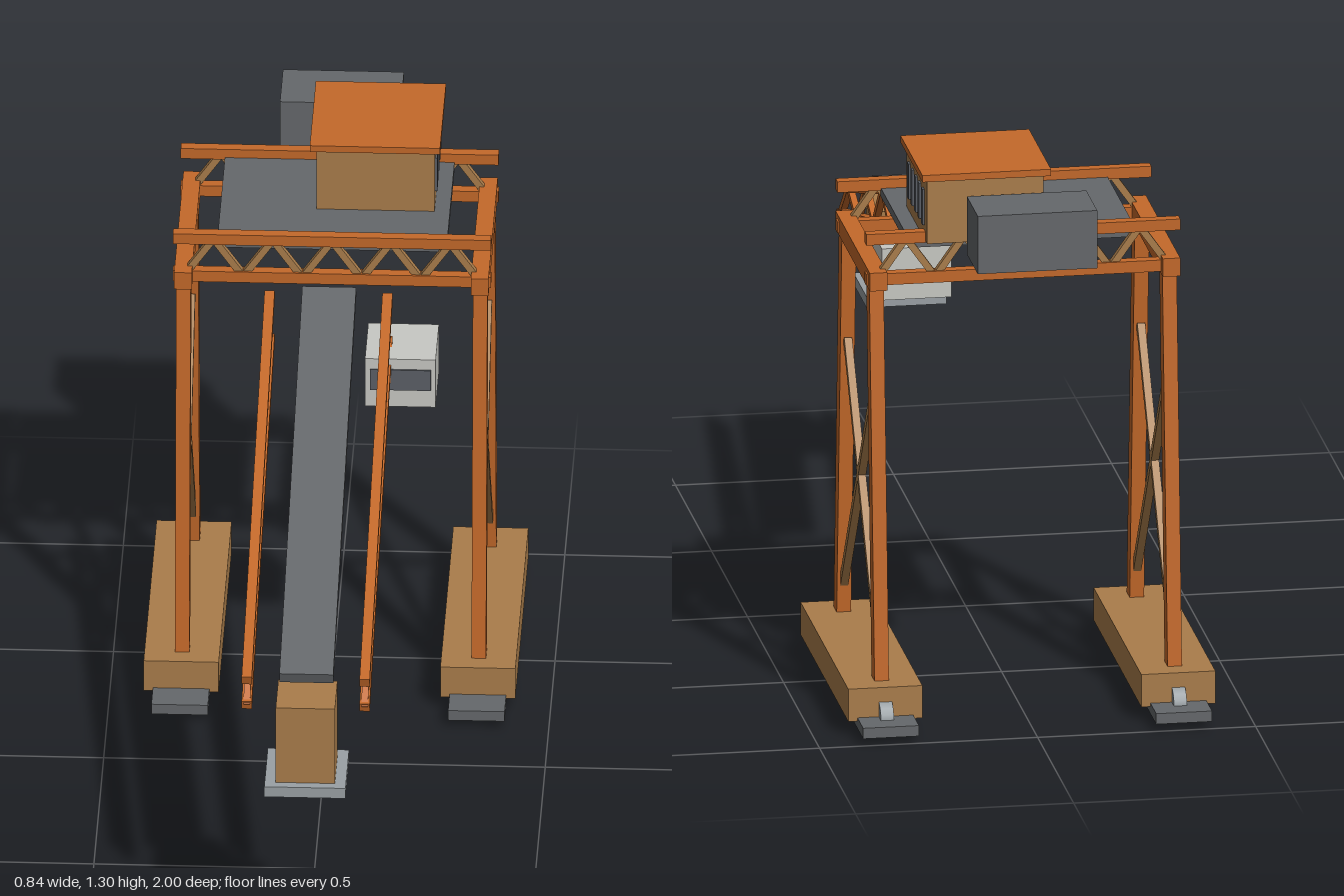
import * as THREE from 'three';

const mat = (name, color) => {
  const m = new THREE.MeshStandardMaterial({ color });
  m.name = name;
  return m;
};

export function createModel() {
  const orange = mat('orange steel', 0xc4692a);
  const tan = mat('tan steel', 0xaa7d4b);
  const dark = mat('dark grey', 0x65686b);
  const glass = mat('window grey', 0x5b5f66);
  const pale = mat('pale grey', 0xc8c9c4);
  const mid = mat('mid grey', 0x9aa1a5);

  const model = new THREE.Group();
  model.name = 'gantryCrane';
  const group = (name) => {
    const g = new THREE.Group();
    g.name = name;
    model.add(g);
    return g;
  };

  // Box given by its limits on each axis
  const box = (parent, name, m, [x0, x1], [y0, y1], [z0, z1]) => {
    const mesh = new THREE.Mesh(new THREE.BoxGeometry(x1 - x0, y1 - y0, z1 - z0), m);
    mesh.position.set((x0 + x1) / 2, (y0 + y1) / 2, (z0 + z1) / 2);
    mesh.name = name;
    parent.add(mesh);
  };

  // Square bar running from point a to point b
  const bar = (parent, name, m, a, b, w, h = w) => {
    const p = new THREE.Vector3(...a), q = new THREE.Vector3(...b);
    const mesh = new THREE.Mesh(new THREE.BoxGeometry(w, h, p.distanceTo(q)), m);
    mesh.position.copy(p).add(q).multiplyScalar(0.5);
    mesh.lookAt(q);
    mesh.name = name;
    parent.add(mesh);
  };

  // Zigzag lacing between a lower and an upper chord, starting low
  const lacing = (parent, m, low, high, n, w) => {
    const node = (i) => {
      const [a, b] = i % 2 ? high : low;
      return a.map((v, k) => v + (b[k] - v) * i / n);
    };
    for (let i = 0; i < n; i++) bar(parent, 'lacing', m, node(i), node(i + 1), w);
  };

  // Two side frames: track pad, wheels, sill, legs, braces, top beam
  for (const s of [-1, 1]) {
    const g = group(s > 0 ? 'leftSideFrame' : 'rightSideFrame');
    const x = s * 0.336;
    box(g, 'trackPad', dark, [x - 0.064, x + 0.064], [0.017, 0.042], [-1, -0.18]);
    box(g, 'sillBeam', tan, [x - 0.085, x + 0.085], [0.034, 0.111], [-0.92, -0.258]);
    for (const z of [-0.424, -0.755, -0.912]) {
      const wheel = new THREE.Mesh(new THREE.CylinderGeometry(0.039, 0.039, 0.03, 16), mid);
      wheel.rotation.z = Math.PI / 2;
      wheel.position.set(x, 0.039, z);
      wheel.name = 'wheel';
      g.add(wheel);
    }
    bar(g, 'frontLeg', orange, [x, 0.1, -0.323], [x, 1.045, -0.397], 0.033, 0.042);
    bar(g, 'backLeg', orange, [x, 0.1, -0.85], [x, 1.045, -0.776], 0.033, 0.042);
    bar(g, 'crossBrace', tan, [x, 0.775, -0.397], [x, 0.18, -0.83], 0.018);
    bar(g, 'crossBrace', tan, [x, 0.775, -0.776], [x, 0.18, -0.343], 0.018);
    box(g, 'topBeam', orange, [x - 0.02, x + 0.02], [1.022, 1.065], [-0.826, -0.348]);
  }

  // Two trusses spanning the gantry
  for (const z of [-0.388, -0.79]) {
    const g = group(z > -0.5 ? 'frontTruss' : 'backTruss');
    const zs = [z - 0.013, z + 0.013];
    box(g, 'lowerChord', orange, [-0.36, 0.36], [1.028, 1.055], zs);
    box(g, 'upperChord', orange, [-0.36, 0.36], [1.124, 1.15], zs);
    lacing(g, tan, [[-0.335, 1.04, z], [0.335, 1.04, z]],
      [[-0.335, 1.135, z], [0.335, 1.135, z]], 10, 0.016);
  }

  // Deck, cabin with side windows, and machinery box behind
  box(model, 'deck', dark, [-0.26, 0.26], [1.108, 1.129], [-0.785, -0.393]);
  const cabin = group('cabin');
  box(cabin, 'cabinWalls', tan, [-0.042, 0.225], [1.129, 1.28], [-0.829, -0.545]);
  box(cabin, 'cabinRoof', orange, [-0.057, 0.238], [1.28, 1.296], [-0.842, -0.537]);
  for (let i = 0; i < 5; i++) {
    const z = -0.59 - i * 0.0484;
    box(cabin, 'cabinWindow', glass, [0.223, 0.23], [1.163, 1.247], [z - 0.01, z + 0.01]);
  }
  box(model, 'machineryBox', dark, [-0.138, 0.136], [1.104, 1.241], [-0.993, -0.841]);

  // Sloping conveyor: belt between two laced side girders
  const conveyor = group('conveyor');
  bar(conveyor, 'belt', dark, [0, 0.722, 0.922], [0, 1.081, -0.248], 0.122, 0.027);
  for (const x of [-0.135, 0.132]) {
    const low = [[x, 0.65, 0.922], [x, 0.958, -0.248]];
    const high = [[x, 0.713, 0.922], [x, 1.07, -0.248]];
    bar(conveyor, 'lowerRail', orange, ...low, 0.023);
    bar(conveyor, 'upperRail', orange, ...high, 0.023);
    lacing(conveyor, orange, low, high, 10, 0.015);
  }

  // Support post under the low end of the conveyor
  const foot = group('conveyorSupport');
  box(foot, 'supportPost', tan, [-0.067, 0.067], [0.483, 0.675], [0.845, 0.978]);
  box(foot, 'supportPlate', mid, [-0.092, 0.092], [0.457, 0.483], [0.818, 1]);

  // Operator booth with a front window
  const booth = group('operatorBooth');
  box(booth, 'boothBody', pale, [0.085, 0.245], [0.838, 0.96], [-0.322, -0.154]);
  box(booth, 'boothWindow', glass, [0.096, 0.234], [0.882, 0.934], [-0.157, -0.15]);

  return model;
}
